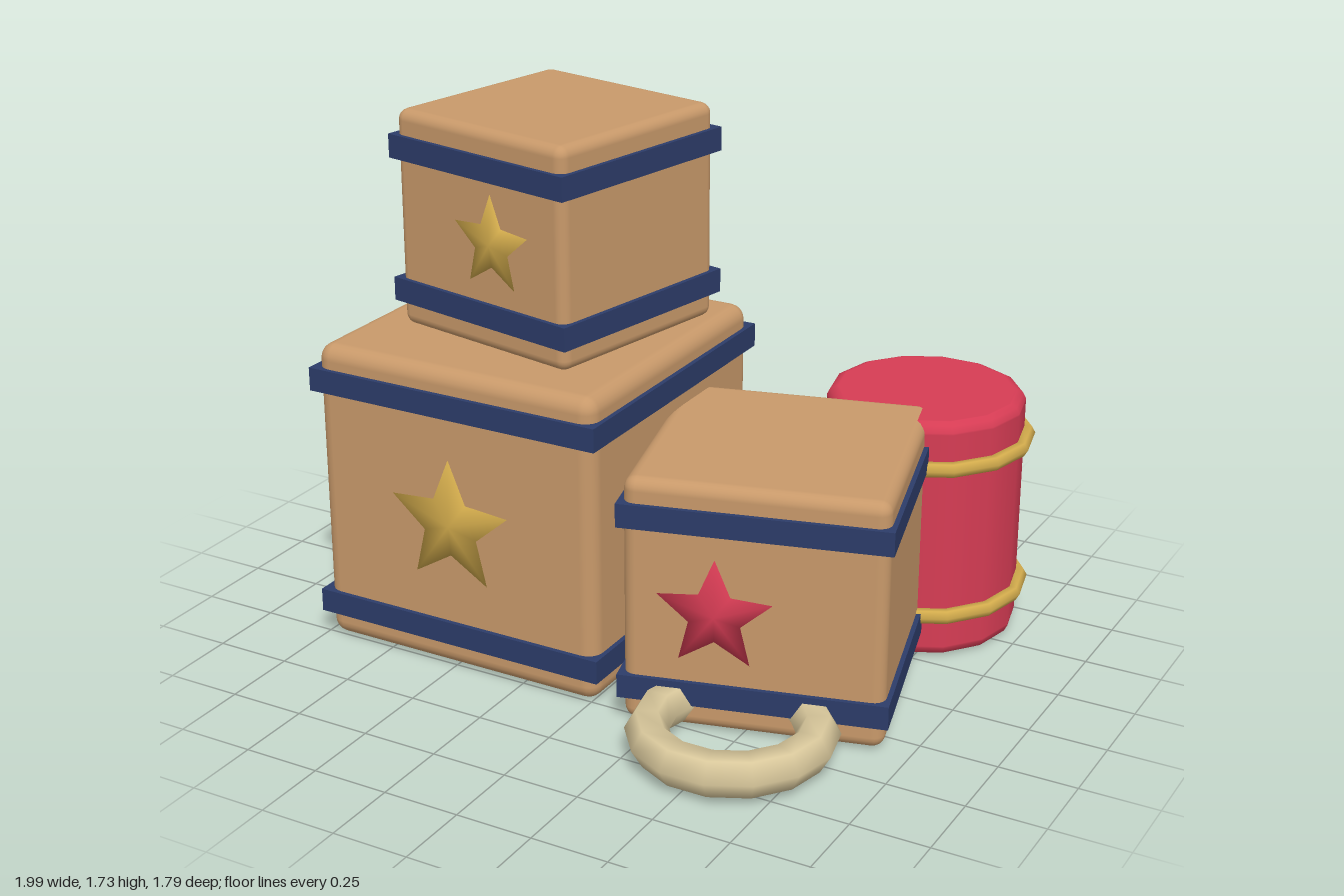
import * as THREE from 'three';
import { RoundedBoxGeometry } from 'three/addons/geometries/RoundedBoxGeometry.js';

const paint = (name, color) => {
  const m = new THREE.MeshStandardMaterial({ color });
  m.name = name;
  return m;
};

function part(parent, name, geometry, material, x = 0, y = 0, z = 0) {
  const mesh = new THREE.Mesh(geometry, material);
  mesh.name = name;
  mesh.position.set(x, y, z);
  parent.add(mesh);
  return mesh;
}

// Thin five-pointed star: a ten-sided rim with a raised centre on each side
function starGeometry(radius, depth) {
  const pos = [0, 0, depth, 0, 0, -depth];
  const index = [];
  for (let i = 0; i < 10; i++) {
    const a = Math.PI / 2 + (i * Math.PI) / 5;
    const r = i % 2 ? radius * 0.45 : radius;
    pos.push(r * Math.cos(a), r * Math.sin(a), 0);
    const p = 2 + i, q = 2 + ((i + 1) % 10);
    index.push(0, p, q, 1, q, p);
  }
  const g = new THREE.BufferGeometry();
  g.setAttribute('position', new THREE.Float32BufferAttribute(pos, 3));
  g.setIndex(index);
  g.computeVertexNormals();
  return g;
}

export function createModel() {
  const model = new THREE.Group();
  model.name = 'toyStack';

  const wood = paint('wood', 0xc8996a);
  const navy = paint('navy', 0x2c3c69);
  const red = paint('red', 0xd63c54);
  const gold = paint('gold', 0xd2ab4c);
  const cream = paint('cream', 0xd8c79b);

  // Rounded block with two bands and a star on the front
  function block(name, o) {
    const g = new THREE.Group();
    g.name = name;
    g.position.set(o.x, o.y, o.z);
    g.rotation.y = o.turn;
    const s = o.size;
    part(g, 'block', new RoundedBoxGeometry(s, o.height, s, 3, s * 0.05), wood, 0, o.height / 2, 0);
    for (const y of o.bands) {
      part(g, 'band', new THREE.BoxGeometry(o.bandSize, 0.077, o.bandSize), navy, 0, y - o.y, 0);
    }
    const out = s / 2 + 0.022;
    part(g, 'star', starGeometry(o.starRadius, 0.012), o.starPaint,
      -out * Math.tan(o.turn), o.starY - o.y, out);
    model.add(g);
  }

  block('largeBlock', {
    x: -0.48, y: 0.005, z: 0.015, turn: 0, size: 1.01, height: 1.01, bandSize: 1.04,
    bands: [0.127, 0.9], starRadius: 0.223, starY: 0.51, starPaint: gold,
  });
  block('smallBlock', {
    x: 0.428, y: 0.005, z: 0.06, turn: 0.26, size: 0.805, height: 0.806, bandSize: 0.835,
    bands: [0.127, 0.695], starRadius: 0.186, starY: 0.402, starPaint: red,
  });
  block('topBlock', {
    x: -0.43, y: 1.02, z: -0.04, turn: -0.2, size: 0.705, height: 0.706, bandSize: 0.735,
    bands: [1.138, 1.607], starRadius: 0.16, starY: 1.378, starPaint: gold,
  });

  // Drum with softened rims and two hoops
  const drum = new THREE.Group();
  drum.name = 'drum';
  drum.position.set(0.637, 0, -0.556);
  const profile = [
    [0, 0], [0.284, 0], [0.29, 0], [0.31, 0.01], [0.32, 0.03], [0.32, 0.036],
    [0.32, 0.773], [0.32, 0.779], [0.31, 0.799], [0.29, 0.809], [0.284, 0.809], [0, 0.809],
  ].map(([r, y]) => new THREE.Vector2(r, y));
  part(drum, 'drumBody', new THREE.LatheGeometry(profile, 14, Math.PI / 2), red);
  for (const y of [0.152, 0.662]) {
    const hoop = part(drum, 'hoop', new THREE.TorusGeometry(0.331, 0.025, 6, 14), gold, 0, y, 0);
    hoop.rotation.x = Math.PI / 2;
  }
  model.add(drum);

  // Ring lying in front of the small block
  const ring = part(model, 'toyRing', new THREE.TorusGeometry(0.255, 0.068, 6, 14), cream, 0.533, 0.085, 0.575);
  ring.rotation.x = Math.PI / 2;

  return model;
}
